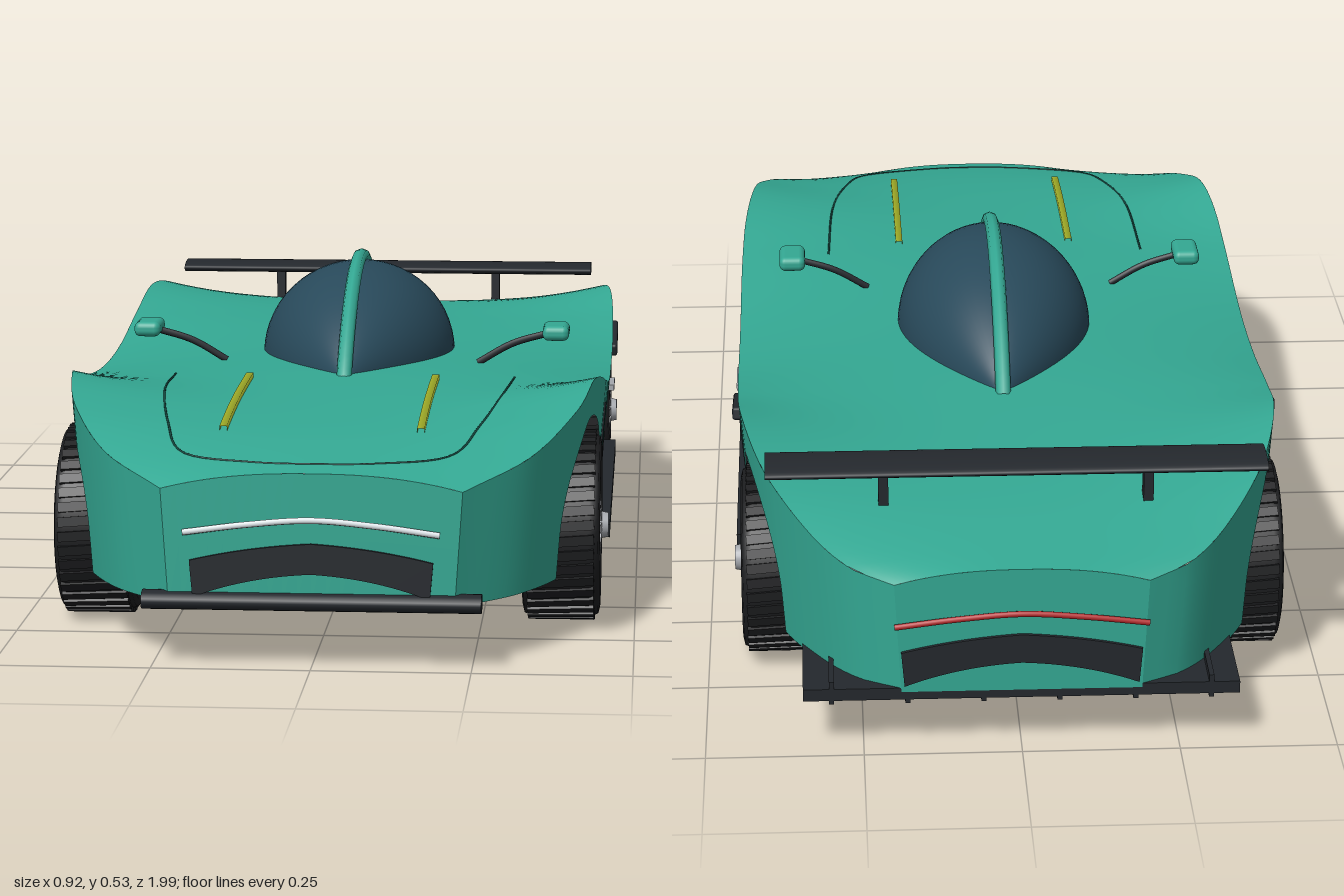
import * as THREE from 'three';
import { mergeGeometries } from 'three/addons/utils/BufferGeometryUtils.js';
import { RoundedBoxGeometry } from 'three/addons/geometries/RoundedBoxGeometry.js';

const mat = (color) => new THREE.MeshStandardMaterial({ color, side: THREE.DoubleSide });
const paint = mat(0x34a893), black = mat(0x24282d), rubber = mat(0x1c1d1f), glass = mat(0x28495a);
const metal = mat(0xa5a8ad), dark = mat(0x6f7276), orange = mat(0xe0652b), lime = mat(0xa9b52a);
const white = mat(0xdfe6ea), red = mat(0xb3282a), seam = mat(0x14463e);
const V = (x, y, z) => new THREE.Vector3(x, y, z);

// Smooth interpolation of [z, value] pairs
function curve(pairs) {
  return (z) => {
    let i = 0;
    while (i < pairs.length - 2 && z > pairs[i + 1][0]) i++;
    const at = (k) => pairs[Math.min(Math.max(k, 0), pairs.length - 1)];
    const [a, b, c, d] = [at(i - 1), at(i), at(i + 1), at(i + 2)];
    const h = c[0] - b[0], t = (z - b[0]) / h;
    const m0 = (c[1] - a[1]) / (c[0] - a[0]) * h, m1 = (d[1] - b[1]) / (d[0] - b[0]) * h;
    return (2 * t ** 3 - 3 * t * t + 1) * b[1] + (t ** 3 - 2 * t * t + t) * m0
      + (3 * t * t - 2 * t ** 3) * c[1] + (t ** 3 - t * t) * m1;
  };
}
const END = 0.98, WHEEL_Z = 0.58, ARCH = 0.172, ARCH_Y = 0.165;
const halfWidth = curve([[-0.98, 0.2], [-0.94, 0.27], [-0.85, 0.34], [-0.73, 0.4], [-0.58, 0.436], [-0.4, 0.448],
  [0, 0.45], [0.4, 0.447], [0.58, 0.43], [0.72, 0.405], [0.87, 0.335], [0.98, 0.235]]);
const centreY = curve([[-0.98, 0.308], [-0.8, 0.335], [-0.6, 0.35], [-0.3, 0.362], [0, 0.362],
  [0.3, 0.362], [0.6, 0.35], [0.8, 0.335], [0.98, 0.308]]);
const edgeY = curve([[-0.98, 0.285], [-0.88, 0.32], [-0.75, 0.365], [-0.57, 0.398], [-0.38, 0.368], [-0.15, 0.336],
  [0.1, 0.332], [0.35, 0.358], [0.57, 0.398], [0.73, 0.366], [0.87, 0.318], [0.98, 0.282]]);
const topY = (x, z) => centreY(z) + (edgeY(z) - centreY(z)) * Math.min(1, Math.abs(x) / halfWidth(z)) ** 2.4;
const sideX = (y, z) => halfWidth(z) * (0.95 + 0.05 * (y - 0.1) / (edgeY(z) - 0.1));

// Grid surface from a rule (u, v) -> Vector3
function surface(nu, nv, rule) {
  const g = new THREE.PlaneGeometry(1, 1, nu, nv), p = g.attributes.position, uv = g.attributes.uv;
  for (let i = 0; i < p.count; i++) {
    const q = rule(uv.getX(i), 1 - uv.getY(i));
    p.setXYZ(i, q.x, q.y, q.z);
  }
  g.computeVertexNormals();
  return g;
}
const tube = (pts, r, smooth = true, n = 40) => {
  const c = new THREE.CatmullRomCurve3(pts, false, 'catmullrom', smooth ? 0.5 : 0);
  return new THREE.TubeGeometry(c, n, r, 8);
};
const box = (w, h, d, x, y, z) => new THREE.BoxGeometry(w, h, d).translate(x, y, z);

// Lower edge of the side panels, with two wheel arches
function sillPoints() {
  const pts = [];
  const run = (z0, z1, y) => { for (let i = 0; i <= 14; i++) pts.push([z0 + (z1 - z0) * i / 14, y]); };
  const arch = (c) => {
    for (let i = 0; i <= 28; i++) {
      const a = Math.PI * i / 28;
      pts.push([c - ARCH * Math.cos(a), ARCH_Y + ARCH * Math.sin(a)]);
    }
  };
  run(-END, -WHEEL_Z - ARCH, 0.1);
  arch(-WHEEL_Z);
  run(-WHEEL_Z + ARCH, WHEEL_Z - ARCH, 0.115);
  arch(WHEEL_Z);
  run(WHEEL_Z + ARCH, END, 0.1);
  return pts;
}

function wheel(side, name) {
  const g = new THREE.Group();
  g.name = name;
  const add = (part, geo, m) => { const o = new THREE.Mesh(geo, m); o.name = part; g.add(o); };
  const lathe = (pts) => new THREE.LatheGeometry(pts.map(([r, h]) => new THREE.Vector2(r, h)), 48).rotateZ(-Math.PI / 2);
  add('tyre', lathe([[0.12, -0.055], [0.134, -0.063], [0.146, -0.06], [0.152, -0.046],
    [0.152, 0.046], [0.146, 0.06], [0.134, 0.063], [0.12, 0.055]]), rubber);
  const blocks = [];
  for (let i = 0; i < 40; i++) {
    blocks.push(new THREE.BoxGeometry(0.108, 0.012, 0.016).rotateY(0.08).translate(0, 0.15, 0).rotateX(i * Math.PI / 20));
  }
  add('tread', mergeGeometries(blocks), rubber);
  add('rim', lathe([[0.121, -0.055], [0.11, -0.045], [0.11, 0.045], [0.116, 0.058], [0.124, 0.058], [0.122, 0.05]]), metal);
  const spokes = [];
  for (let i = 0; i < 8; i++) {
    const s = new THREE.BoxGeometry(0.014, 0.1, 0.014).translate(0, 0.064, 0), p = s.attributes.position;
    for (let k = 0; k < p.count; k++) if (p.getY(k) < 0.05) p.setX(k, p.getX(k) + 0.008);
    spokes.push(s.translate(0.05, 0, 0).rotateX(i * Math.PI / 4));
  }
  spokes.push(new THREE.CylinderGeometry(0.02, 0.026, 0.03, 24).rotateZ(-Math.PI / 2).translate(0.06, 0, 0));
  add('spokes', mergeGeometries(spokes), metal);
  add('brakeDisc', new THREE.CylinderGeometry(0.098, 0.098, 0.012, 40).rotateZ(Math.PI / 2).translate(0.015, 0, 0), dark);
  const mid = side > 0 ? 0 : Math.PI, arc = new THREE.Shape();
  arc.absarc(0, 0, 0.104, mid - 0.45, mid + 0.45, false);
  arc.absarc(0, 0, 0.058, mid + 0.45, mid - 0.45, true);
  add('caliper', new THREE.ExtrudeGeometry(arc, { depth: 0.035, bevelEnabled: false, curveSegments: 12 })
    .rotateY(Math.PI / 2).translate(0.003, 0, 0), orange);
  if (side < 0) g.rotation.y = Math.PI;
  return g;
}

export function createModel() {
  const car = new THREE.Group();
  car.name = 'sportsCar';
  const add = (name, geo, m) => { const o = new THREE.Mesh(geo, m); o.name = name; car.add(o); return o; };

  // Body shell
  add('bodyTop', surface(40, 90, (u, v) => {
    const z = END * (2 * v - 1), x = (2 * u - 1) * halfWidth(z);
    return V(x, topY(x, z), z);
  }), paint);
  const sill = sillPoints(), n = sill.length - 1;
  for (const s of [1, -1]) {
    add(s > 0 ? 'leftSide' : 'rightSide', surface(6, n, (u, v) => {
      const [z, low] = sill[Math.round(v * n)], y = low + (edgeY(z) - low) * u;
      return V(s * sideX(y, z), y, z);
    }), paint);
    // Nose and tail panels with grille and light strip
    const end = s > 0 ? 'front' : 'rear', w = halfWidth(s * END);
    add(end + 'Panel', surface(20, 2, (u, v) => {
      const x = (2 * u - 1) * w;
      return V(x * (1 - 0.05 * v), THREE.MathUtils.lerp(topY(x, s * END), 0.1, v), s * END);
    }), paint);
    const grille = new THREE.Shape();
    grille.moveTo(-0.19, 0.17);
    grille.quadraticCurveTo(-0.1, 0.192, 0, 0.198);
    grille.quadraticCurveTo(0.1, 0.192, 0.19, 0.17);
    grille.lineTo(0.185, 0.112);
    grille.quadraticCurveTo(0.1, 0.145, 0, 0.15);
    grille.quadraticCurveTo(-0.1, 0.145, -0.185, 0.112);
    add(end + 'Grille', new THREE.ExtrudeGeometry(grille, { depth: 0.012, bevelEnabled: false })
      .translate(0, 0, s > 0 ? 0.974 : -0.986), black);
    add(end + 'Light', tube([V(-0.2, 0.214, s * 0.984), V(-0.1, 0.228, s * 0.988), V(0, 0.236, s * 0.99),
      V(0.1, 0.228, s * 0.988), V(0.2, 0.214, s * 0.984)], 0.005), s > 0 ? white : red);
  }

  // Bonnet seam
  const hood = [[0.29, 0.32], [0.28, 0.55], [0.25, 0.75], [0.21, 0.88], [0.1, 0.925]];
  const loop = [...hood, [0, 0.935], ...hood.map(([x, z]) => [-x, z]).reverse()];
  add('bonnetSeam', tube(loop.map(([x, z]) => V(x, topY(x, z), z)), 0.0018, true, 80), seam);

  // Canopy: lens-shaped in plan, half-elliptic in section
  const dome = (z) => Math.max(0, 1 - ((z + 0.02) / 0.355) ** 2);
  add('canopy', surface(28, 48, (u, v) => {
    const z = -0.02 - 0.355 * Math.cos(Math.PI * v), a = Math.PI * u;
    return V(-0.17 * dome(z) * Math.cos(a), 0.35 + 0.163 * dome(z) ** 0.9 * Math.sin(a), z);
  }), glass);
  const spine = [];
  for (let i = 0; i <= 16; i++) {
    const z = -0.02 - 0.355 * Math.cos(Math.PI * i / 16);
    spine.push(V(0, 0.354 + 0.165 * dome(z) ** 0.9, z));
  }
  add('canopySpine', tube(spine, 0.013, true, 60), paint);

  for (const s of [1, -1]) {
    const side = s > 0 ? 'left' : 'right';
    // Bonnet strips
    add(side + 'BonnetStrip', surface(3, 24, (u, v) => {
      const z = 0.36 + 0.42 * v, x = s * 0.158, k = Math.round(u * 3);
      return V(x + (k < 2 ? -0.006 : 0.006), topY(x, z) + (k % 3 ? 0.008 : -0.004), z);
    }), lime);
    // Door seam, handle, air intake and sill
    const door = [];
    for (let i = 0; i <= 8; i++) door.push([0.33 - 0.18 * i / 8, 0.39]);
    for (let i = 1; i <= 16; i++) door.push([0.15, 0.39 - 0.75 * i / 16]);
    for (let i = 1; i <= 8; i++) door.push([0.15 + 0.18 * i / 8, -0.36]);
    add(side + 'DoorSeam', tube(door.map(([y, z]) => V(s * sideX(y, z), y, z)), 0.003, true, 120), black);
    add(side + 'DoorHandle', box(0.012, 0.01, 0.085, s * (sideX(0.283, -0.1) + 0.004), 0.283, -0.1), metal);
    const intake = add(side + 'Intake', new RoundedBoxGeometry(0.022, 0.022, 0.14, 2, 0.005), black);
    intake.position.set(s * 0.447, 0.331, -0.345);
    intake.rotation.x = 0.2;
    add(side + 'Sill', box(0.035, 0.022, 0.84, s * 0.438, 0.115, 0), black);
    // Mirror
    add(side + 'Mirror', new RoundedBoxGeometry(0.046, 0.026, 0.08, 3, 0.011).translate(s * 0.356, 0.415, 0.152), paint);
    add(side + 'MirrorArm', tube([V(s * 0.22, 0.358, 0.15), V(s * 0.28, 0.392, 0.15), V(s * 0.345, 0.412, 0.152)], 0.006), black);
    // Wing post
    add(side + 'WingPost', box(0.016, 0.09, 0.03, s * 0.212, 0.358, -0.78), black);
    // Wheels
    for (const f of [1, -1]) {
      const w = wheel(s, side + (f > 0 ? 'Front' : 'Rear') + 'Wheel');
      w.position.set(s * 0.38, 0.157, f * WHEEL_Z);
      car.add(w);
    }
  }

  // Rear wing, a hollow blade
  add('wing', new THREE.CylinderGeometry(1, 1, 0.8, 32, 1, true).rotateZ(Math.PI / 2)
    .scale(1, 0.011, 0.05).translate(0, 0.405, -0.78), black);

  // Front splitter, rear diffuser and fins
  add('splitter', new THREE.CylinderGeometry(1, 1, 0.53, 20).rotateZ(Math.PI / 2)
    .scale(1, 0.015, 0.024).translate(0, 0.105, 0.972), black);
  add('diffuser', box(0.69, 0.02, 0.25, 0, 0.097, -0.855), black);
  add('diffuserFins', mergeGeometries([-0.3, -0.18, -0.06, 0.06, 0.18, 0.3].map((x) =>
    box(0.008, 0.038, 0.14, x, 0.1, -0.91))), black);

  // Underbody
  add('underbody', new RoundedBoxGeometry(0.64, 0.07, 0.92, 4, 0.03).translate(0, 0.089, 0), metal);
  add('floor', box(0.58, 0.006, 0.84, 0, 0.054, 0), black);
  for (const z of [WHEEL_Z, -WHEEL_Z]) {
    add(z > 0 ? 'frontAxle' : 'rearAxle', new THREE.CylinderGeometry(0.018, 0.018, 0.72, 16)
      .rotateZ(Math.PI / 2).translate(0, 0.157, z), metal);
  }
  return car;
}
